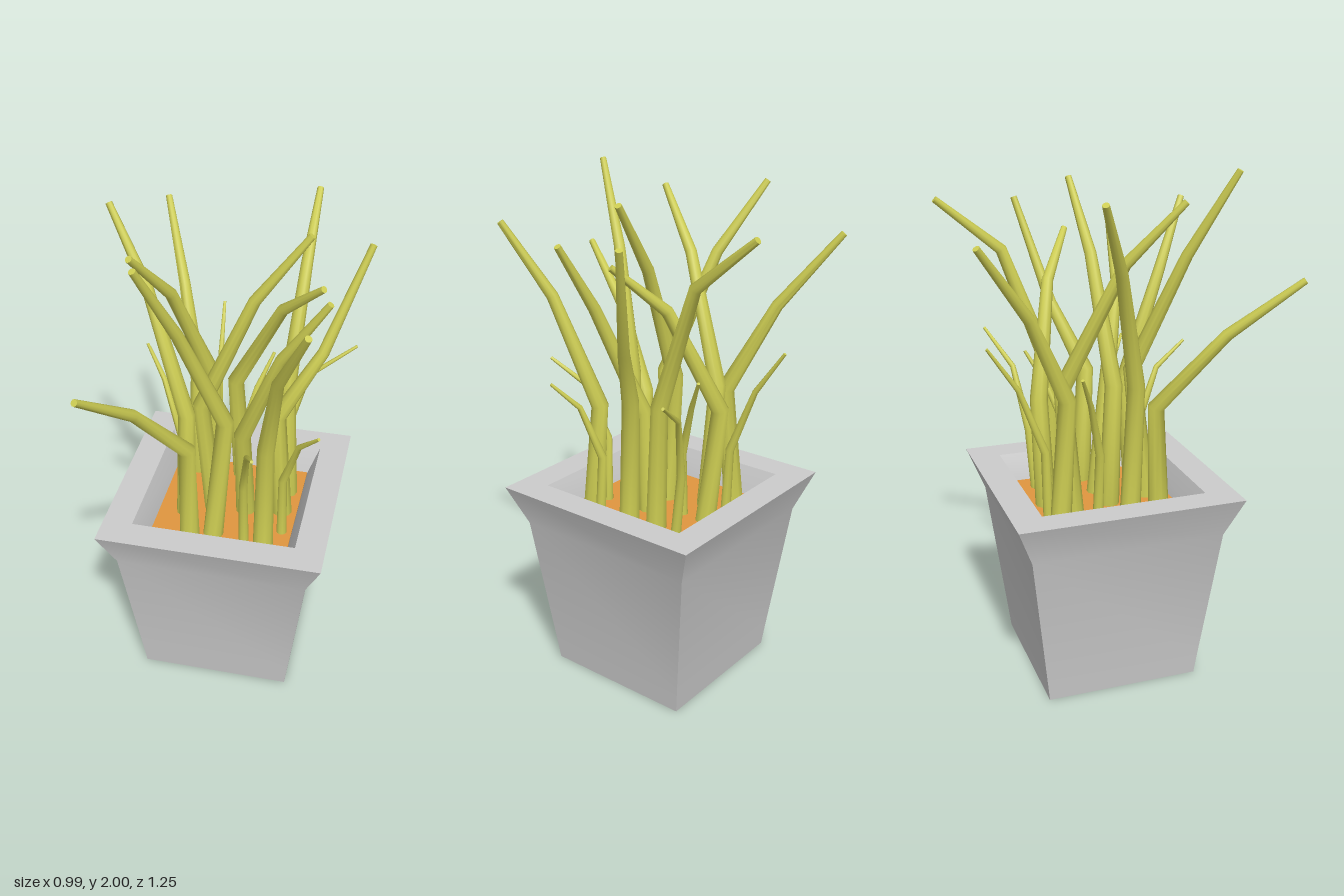
import * as THREE from 'three';
import { toCreasedNormals } from 'three/addons/utils/BufferGeometryUtils.js';

const POT_Z = -0.064;

// Square-section vessel from a profile of [half width, height]
function squareLathe(profile) {
  const points = profile.map(([h, y]) => new THREE.Vector2(h * Math.SQRT2, y));
  return toCreasedNormals(new THREE.LatheGeometry(points, 4, Math.PI / 4), 1.0);
}

// Tapered, kinked stalk: one mitred ring per path point, closed by end caps
function stalkGeometry(path, radii, sides = 10) {
  const pts = path.map((p) => new THREE.Vector3(...p));
  const pos = [], index = [];
  const last = pts.length - 1;
  pts.forEach((p, i) => {
    const dir = new THREE.Vector3();
    if (i > 0) dir.add(p.clone().sub(pts[i - 1]).normalize());
    if (i < last) dir.add(pts[i + 1].clone().sub(p).normalize());
    dir.normalize();
    const u = new THREE.Vector3(0, 0, 1).cross(dir).negate().normalize();
    const v = u.clone().cross(dir).normalize();
    for (let k = 0; k < sides; k++) {
      const a = (k / sides) * Math.PI * 2;
      const q = p.clone()
        .addScaledVector(u, Math.cos(a) * radii[i])
        .addScaledVector(v, Math.sin(a) * radii[i]);
      pos.push(q.x, q.y, q.z);
    }
  });
  for (let i = 0; i < last; i++) {
    for (let k = 0; k < sides; k++) {
      const a = i * sides + k, b = i * sides + ((k + 1) % sides);
      index.push(a, a + sides, b, b, a + sides, b + sides);
    }
  }
  // End caps as fans
  for (let k = 1; k < sides - 1; k++) {
    const t = last * sides;
    index.push(0, k, k + 1, t, t + k + 1, t + k);
  }
  const g = new THREE.BufferGeometry();
  g.setAttribute('position', new THREE.Float32BufferAttribute(pos, 3));
  g.setIndex(index);
  return toCreasedNormals(g, 1.1);
}

// Each stalk: root, lower bend, upper bend, tip
const THICK = [
  [[-0.19, 0.67, -0.28], [-0.17, 1.18, -0.24], [-0.26, 1.52, -0.4], [-0.37, 1.8, -0.6]],
  [[0.22, 0.67, -0.2], [0.2, 1.2, -0.2], [0.23, 1.68, -0.375], [0.235, 1.88, -0.62]],
  [[0.22, 0.67, -0.07], [0.19, 1.18, -0.055], [0.34, 1.43, -0.15], [0.485, 1.84, -0.255]],
  [[0.01, 0.67, -0.28], [-0.03, 1.15, -0.31], [0.17, 1.56, -0.21], [0.335, 1.73, -0.09]],
  [[-0.06, 0.67, -0.04], [-0.11, 1.2, -0.037], [0.09, 1.67, -0.06], [0.285, 1.935, -0.085]],
  [[-0.17, 0.67, 0.01], [-0.15, 1.2, 0.04], [-0.32, 1.67, -0.08], [-0.485, 1.935, -0.195]],
  [[-0.11, 0.67, -0.2], [-0.11, 1.21, -0.24], [-0.215, 1.68, -0.03], [-0.305, 1.905, 0.165]],
  [[0.07, 0.67, -0.05], [0.06, 1.1, -0.01], [0.22, 1.53, 0.09], [0.385, 1.785, 0.11]],
  [[0.18, 0.67, 0.15], [0.175, 1.13, 0.11], [0.24, 1.55, 0.28], [0.355, 1.83, 0.42]],
  [[-0.03, 0.67, 0.13], [0.01, 1.22, 0.08], [-0.12, 1.68, 0.25], [-0.215, 1.995, 0.41]],
  [[-0.12, 0.67, 0.15], [-0.13, 1.1, 0.13], [-0.26, 1.4, 0.36], [-0.37, 1.61, 0.615]],
];
const THIN = [
  [[-0.1, 0.67, -0.3], [-0.105, 0.96, -0.31], [-0.115, 1.22, -0.41], [-0.125, 1.39, -0.525]],
  [[0.19, 0.67, -0.27], [0.19, 0.95, -0.295], [0.265, 1.2, -0.335], [0.445, 1.32, -0.405]],
  [[0.02, 0.67, -0.18], [0.015, 0.95, -0.17], [0.07, 1.17, -0.25], [0.125, 1.3, -0.32]],
  [[-0.22, 0.67, -0.14], [-0.22, 0.97, -0.13], [-0.3, 1.195, -0.19], [-0.38, 1.32, -0.245]],
  [[0.24, 0.67, 0.06], [0.235, 0.95, 0.05], [0.3, 1.16, 0.1], [0.38, 1.26, 0.17]],
  [[0.1, 0.67, 0.14], [0.095, 0.96, 0.14], [0.125, 1.18, 0.23], [0.17, 1.27, 0.365]],
];

export function createModel() {
  const model = new THREE.Group();
  model.name = 'pottedGrass';

  // Square pot with flared rim, open inside down to the soil
  const pot = new THREE.Mesh(
    squareLathe([[0, 0], [0.305, 0], [0.314, 0.08], [0.38, 0.64], [0.4425, 0.8],
      [0.325, 0.8], [0.28, 0.69], [0.275, 0.66]]),
    new THREE.MeshStandardMaterial({ color: 0xcccccc }));
  pot.name = 'pot';
  pot.position.z = POT_Z;
  model.add(pot);

  // Soil surface
  const soil = new THREE.Mesh(
    new THREE.BoxGeometry(0.56, 0.04, 0.56),
    new THREE.MeshStandardMaterial({ color: 0xe0963f }));
  soil.name = 'soil';
  soil.position.set(0, 0.675, POT_Z);
  model.add(soil);

  // Grass stalks
  const green = new THREE.MeshStandardMaterial({ color: 0xcccc52 });
  const grass = new THREE.Group();
  grass.name = 'grass';
  const addStalks = (paths, radii, name) => paths.forEach((path, i) => {
    const stalk = new THREE.Mesh(stalkGeometry(path, radii), green);
    stalk.name = `${name}${i + 1}`;
    grass.add(stalk);
  });
  addStalks(THICK, [0.041, 0.034, 0.023, 0.013], 'thickStalk');
  addStalks(THIN, [0.021, 0.017, 0.011, 0.006], 'thinStalk');
  model.add(grass);

  return model;
}
